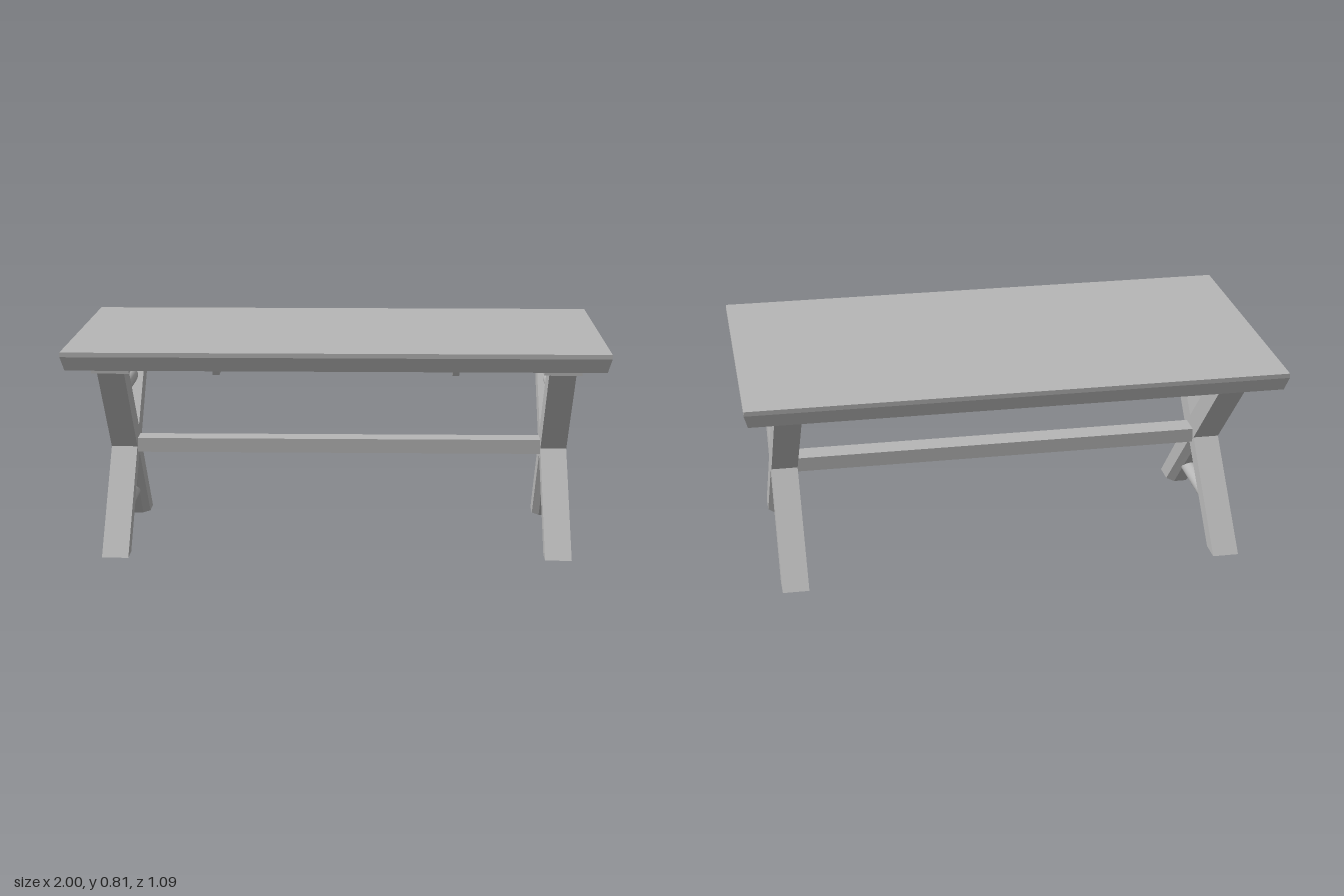
import * as THREE from 'three';

const wood = new THREE.MeshStandardMaterial({ color: 0xb6b6b6 });
wood.name = 'grey wood';

function add(parent, name, geometry, x = 0, y = 0, z = 0) {
  const mesh = new THREE.Mesh(geometry, wood);
  mesh.name = name;
  mesh.position.set(x, y, z);
  parent.add(mesh);
  return mesh;
}

// Move each vertex by a rule, then give every face its own flat normal
function reshape(geometry, rule) {
  const g = geometry.index ? geometry.toNonIndexed() : geometry;
  const p = g.attributes.position;
  const v = new THREE.Vector3();
  for (let i = 0; i < p.count; i++) {
    v.fromBufferAttribute(p, i);
    rule(v);
    p.setXYZ(i, v.x, v.y, v.z);
  }
  g.computeVertexNormals();
  return g;
}

// Slab with a short upright rim and an undercut lower edge
function topGeometry() {
  return reshape(new THREE.BoxGeometry(2, 0.07, 1.09, 1, 2, 1), (v) => {
    if (Math.abs(v.y) < 0.001) v.y = 0.018;
    else if (v.y < 0) {
      v.x *= 0.986;
      v.z *= 0.963;
    }
  });
}

// X-shaped trestle, with the edges of the lower opening bevelled
function trestleGeometry() {
  const half = [[0, 0.285], [0.28, 0], [0.403, 0], [0.062, 0.355], [0.407, 0.71], [0.285, 0.71], [0, 0.425]];
  const mirrored = half.slice(1, 6).reverse().map(([z, y]) => [-z, y]);
  const shape = new THREE.Shape([...half, ...mirrored].map(([z, y]) => new THREE.Vector2(z, y)));
  const g = new THREE.ExtrudeGeometry(shape, { depth: 0.1, steps: 4, bevelEnabled: false });
  g.translate(0, 0, -0.05);
  reshape(g, (v) => {
    if (Math.abs(v.z) < 0.045) return;
    if (Math.abs(v.x) < 0.001 && v.y < 0.3) v.y += 0.035;
    else if (v.y < 0.001 && Math.abs(v.x) < 0.3) v.x += 0.035 * Math.sign(v.x);
  });
  return g.rotateY(Math.PI / 2);
}

export function createModel() {
  const table = new THREE.Group();
  table.name = 'trestleTable';

  add(table, 'tableTop', topGeometry(), 0, 0.775, 0);
  add(table, 'longStretcher', new THREE.BoxGeometry(1.6, 0.055, 0.09), 0, 0.357, 0);

  for (const side of [-1, 1]) {
    const end = new THREE.Group();
    end.name = side > 0 ? 'leftTrestle' : 'rightTrestle';
    end.position.x = side * 0.835;
    table.add(end);

    add(end, 'crossedLegs', trestleGeometry());
    add(end, 'cleat', new THREE.BoxGeometry(0.14, 0.03, 0.844), 0, 0.725, 0);
    // Round rungs between the legs
    for (const [name, y] of [['lowerRung', 0.123], ['upperRung', 0.592]]) {
      add(end, name, new THREE.CylinderGeometry(0.029, 0.029, 0.42, 20).rotateX(Math.PI / 2), 0, y, 0);
    }

    // Thin batten with slanted ends under the top
    const batten = reshape(new THREE.BoxGeometry(0.025, 0.028, 0.92), (v) => {
      if (v.y < 0) v.z *= 0.967;
    });
    add(table, 'batten', batten, side * 0.44, 0.726, 0);
  }
  return table;
}
